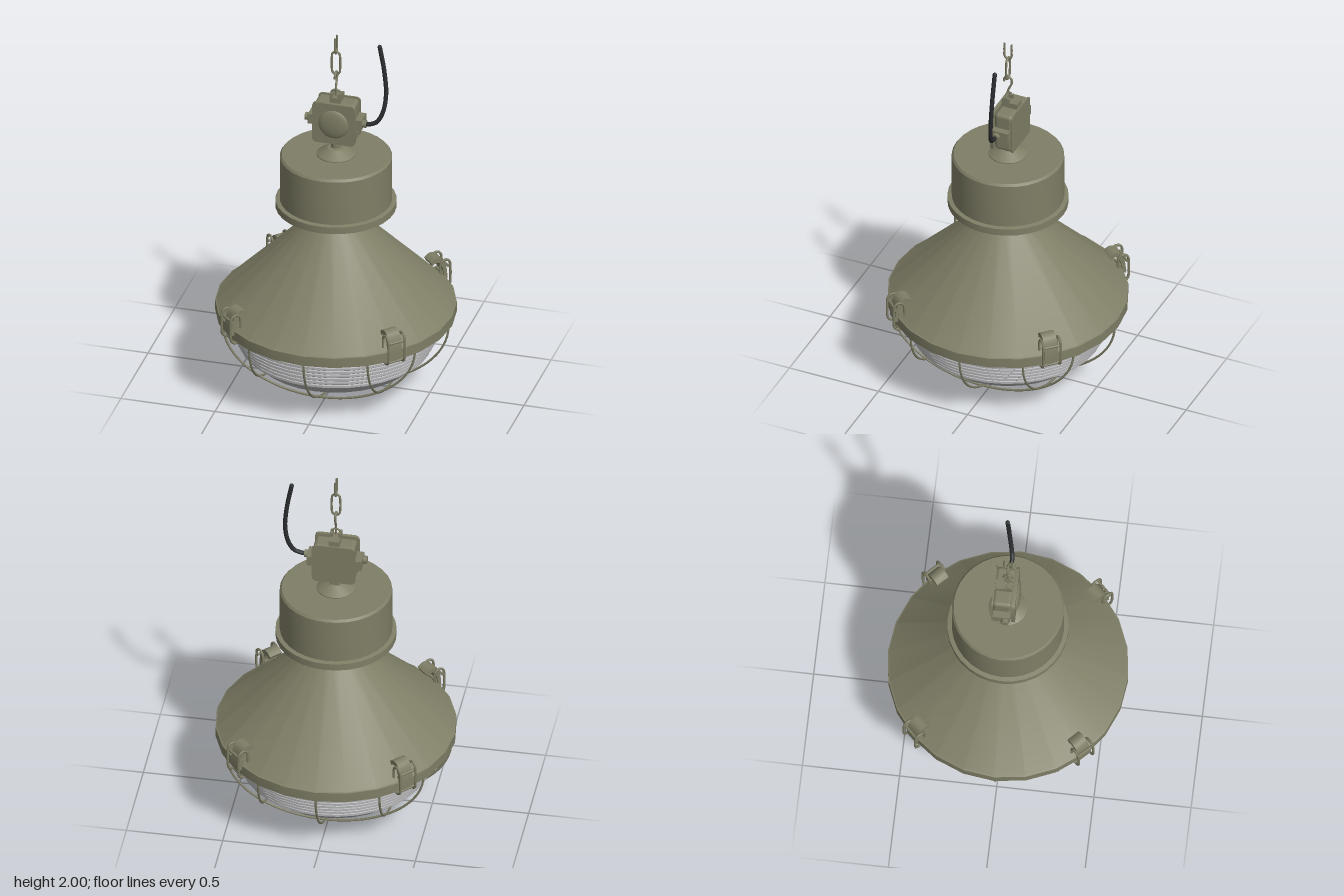
import * as THREE from 'three';
import { toCreasedNormals } from 'three/addons/utils/BufferGeometryUtils.js';
import { RoundedBoxGeometry } from 'three/addons/geometries/RoundedBoxGeometry.js';

export function createModel() {
  const model = new THREE.Group();
  const mat = (name, color) => {
    const m = new THREE.MeshStandardMaterial({ color });
    m.name = name;
    return m;
  };
  const olive = mat('olive paint', 0x7f7e66);
  const glassMat = mat('grey glass', 0xb2b2b4);
  const rubber = mat('black rubber', 0x2b2d30);
  olive.side = glassMat.side = THREE.DoubleSide;

  const add = (name, geo, material = olive, parent = model) => {
    const mesh = new THREE.Mesh(geo, material);
    mesh.name = name;
    parent.add(mesh);
    return mesh;
  };
  const group = (name, parent = model) => {
    const g = new THREE.Group();
    g.name = name;
    parent.add(g);
    return g;
  };
  const lathe = (pts, sides, crease = 0.45) => toCreasedNormals(
    new THREE.LatheGeometry(pts.map(([r, y]) => new THREE.Vector2(r, y)), sides), crease);
  const v = (x, y, z) => new THREE.Vector3(x, y, z);
  const tube = (pts, radius, closed = false, steps = 40, sides = 6) =>
    new THREE.TubeGeometry(new THREE.CatmullRomCurve3(pts, closed), steps, radius, sides, closed);
  const box = (name, w, h, d, x, y, z, parent) => {
    const m = add(name, new THREE.BoxGeometry(w, h, d), olive, parent);
    m.position.set(x, y, z);
    return m;
  };
  // Points of an upright oval loop in the xy plane
  const oval = (halfW, halfH, cx, cy, n = 16) => Array.from({ length: n }, (_, i) => {
    const a = ((i + 0.5) / n) * Math.PI * 2;
    return v(cx + halfW * Math.cos(a), cy + Math.sign(Math.sin(a)) * (halfH - halfW) + halfW * Math.sin(a), 0);
  });

  // Conical shade with rim, inner groove and neck
  add('shade', lathe([[0.56, 0.44], [0.595, 0.44], [0.595, 0.408], [0.618, 0.408], [0.618, 0.462],
    [0.61, 0.465], [0.145, 0.94], [0.145, 1.11]], 24));

  // Gear housing with stepped underside and rolled lip
  add('housing', lathe([[0.145, 1.1], [0.18, 1.1], [0.18, 1.075], [0.215, 1.075], [0.215, 1.055],
    [0.25, 1.055], [0.25, 1.035], [0.285, 1.035], [0.285, 1.02], [0.31, 1.02], [0.31, 1.058],
    [0.288, 1.062], [0.288, 1.308], [0.278, 1.32], [0, 1.32]], 32));
  add('housingCap', lathe([[0.1, 1.318], [0.1, 1.325], [0.045, 1.36], [0.025, 1.362], [0.025, 1.41]], 20));
  const plate = add('housingPlate', new THREE.CylinderGeometry(0.291, 0.291, 0.075, 6, 1, true,
    -Math.PI / 3, Math.PI / 6));
  plate.position.y = 1.215;

  // Ribbed glass bowl: small steps above, smooth curve below
  const profile = [[0, 0.035], [0.12, 0.043], [0.25, 0.078], [0.34, 0.113], [0.415, 0.153], [0.478, 0.212]];
  for (let i = 0; i < 7; i++) {
    const r = 0.485 + i * 0.014, y = 0.215 + i * 0.028;
    profile.push([r, y], [r + 0.008, y + 0.006], [r + 0.008, y + 0.018], [r - 0.002, y + 0.024]);
  }
  profile.push([0.575, 0.412], [0.575, 0.44]);
  add('glass', lathe(profile, 32), glassMat);

  // Wire cage: three wires each way, lying on a shallow bowl
  const cage = group('cage');
  for (const turn of [0, Math.PI / 2]) {
    for (const offset of [-0.315, 0, 0.315]) {
      const half = Math.sqrt(0.6 ** 2 - offset ** 2);
      const pts = [];
      for (let i = 0; i <= 24; i++) {
        const a = Math.PI * (1 - i / 24);
        const s = half * Math.cos(a);
        const k = (s * s + offset * offset) / 0.36;
        pts.push(v(s, 0.412 - 0.404 * Math.sqrt(Math.max(0, 1 - k)), offset));
      }
      add('cageWire', tube(pts, 0.006, false, 48), olive, cage).rotation.y = turn;
    }
  }

  // Four spring clips on the rim
  const lever = new THREE.Shape();
  lever.moveTo(0.535, 0.555);
  lever.quadraticCurveTo(0.57, 0.59, 0.605, 0.56);
  lever.quadraticCurveTo(0.632, 0.52, 0.63, 0.44);
  lever.lineTo(0.612, 0.44);
  lever.quadraticCurveTo(0.61, 0.51, 0.59, 0.535);
  lever.quadraticCurveTo(0.57, 0.56, 0.545, 0.535);
  lever.closePath();
  const leverGeo = toCreasedNormals(new THREE.ExtrudeGeometry(lever,
    { depth: 0.074, bevelEnabled: false, curveSegments: 6 }), 0.5);
  leverGeo.translate(0, 0, -0.037);
  const ringGeo = tube(oval(0.028, 0.08, 0.612, 0.48), 0.007, true, 36);
  const pinGeo = new THREE.CylinderGeometry(0.007, 0.007, 0.1, 8).rotateX(Math.PI / 2);
  for (let i = 0; i < 4; i++) {
    const clip = group('clip');
    clip.rotation.y = Math.PI / 4 + i * Math.PI / 2;
    add('clipLever', leverGeo, olive, clip);
    for (const side of [-1, 1]) add('clipRing', ringGeo, olive, clip).position.z = side * 0.047;
    for (const [r, y] of [[0.612, 0.402], [0.63, 0.52]]) {
      add('clipPin', pinGeo, olive, clip).position.set(r, y, 0);
    }
    box('clipFoot', 0.03, 0.05, 0.06, 0.607, 0.465, 0, clip);
  }

  // Junction box with domed cover and back plate
  const junction = group('junctionBox');
  const rounded = (name, w, h, d, r, z) =>
    add(name, new RoundedBoxGeometry(w, h, d, 3, r), olive, junction).position.set(0, 1.515, z);
  rounded('boxBody', 0.215, 0.22, 0.1, 0.02, -0.02);
  const slab = (name, half, depth, z) => {
    const s = new THREE.Shape(), c = 0.025;
    [[1, 1, 0], [-1, 1, 1], [-1, -1, 2], [1, -1, 3]].forEach(([sx, sy, q]) =>
      s.absarc(sx * (half - c), sy * (half - c), c, q * Math.PI / 2, (q + 1) * Math.PI / 2));
    const g = new THREE.ExtrudeGeometry(s, { depth, bevelEnabled: false, curveSegments: 5 });
    add(name, toCreasedNormals(g, 0.5), olive, junction).position.set(0, 1.515, z);
  };
  slab('boxCover', 0.115, 0.018, 0.03);
  slab('boxBack', 0.113, 0.008, -0.073);
  const dome = add('coverDome', new THREE.SphereGeometry(0.08, 24, 8, 0, Math.PI * 2, 0, Math.PI / 2), olive, junction);
  dome.geometry.scale(1, 0.24, 1).rotateX(Math.PI / 2);
  dome.position.set(0, 1.515, 0.047);
  for (const side of [-1, 1]) {
    box('sideBoss', 0.04, 0.055, 0.09, side * 0.123, 1.517, -0.018, junction);
    const gland = add('gland', new THREE.CylinderGeometry(0.02, 0.02, 0.03, 12).rotateZ(Math.PI / 2), olive, junction);
    gland.position.set(side * 0.148, 1.517, 0);
  }
  box('boxFoot', 0.05, 0.03, 0.05, 0, 1.395, -0.035, junction);

  // Hanger bracket and eye
  const hanger = group('hanger');
  box('hangerBase', 0.056, 0.03, 0.085, 0, 1.64, -0.02, hanger);
  for (const side of [-1, 1]) box('hangerLug', 0.014, 0.03, 0.04, side * 0.022, 1.662, 0, hanger);
  add('hangerEye', new THREE.TorusGeometry(0.025, 0.005, 8, 16, Math.PI), olive, hanger).position.y = 1.67;

  // Chain: hook, full link and open top link
  const chain = group('chain');
  add('chainHook', tube([v(0, 1.765, 0.022), v(0, 1.785, 0.019), v(0, 1.799, 0), v(0, 1.785, -0.019),
    v(0, 1.76, -0.021), v(0, 1.735, -0.01), v(0, 1.71, 0), v(0, 1.66, 0)], 0.006), olive, chain);
  add('chainLink', tube(oval(0.021, 0.065, 0, 1.85), 0.006, true), olive, chain);
  add('topLink', tube([v(0, 2, 0.02), v(0, 1.95, 0.02), v(0, 1.925, 0.019), v(0, 1.905, 0),
    v(0, 1.925, -0.019), v(0, 1.95, -0.02), v(0, 2, -0.02)], 0.006), olive, chain);

  // Power cable
  const path = [v(0.14, 1.517, 0), v(0.175, 1.518, 0), v(0.215, 1.535, -0.004), v(0.245, 1.59, -0.013),
    v(0.26, 1.69, -0.022), v(0.25, 1.82, -0.026), v(0.225, 1.962, -0.028)];
  add('cable', tube(path, 0.0115, false, 48, 10), rubber);
  add('cableTip', new THREE.SphereGeometry(0.0115, 10, 6), rubber).position.copy(path[path.length - 1]);

  return model;
}
